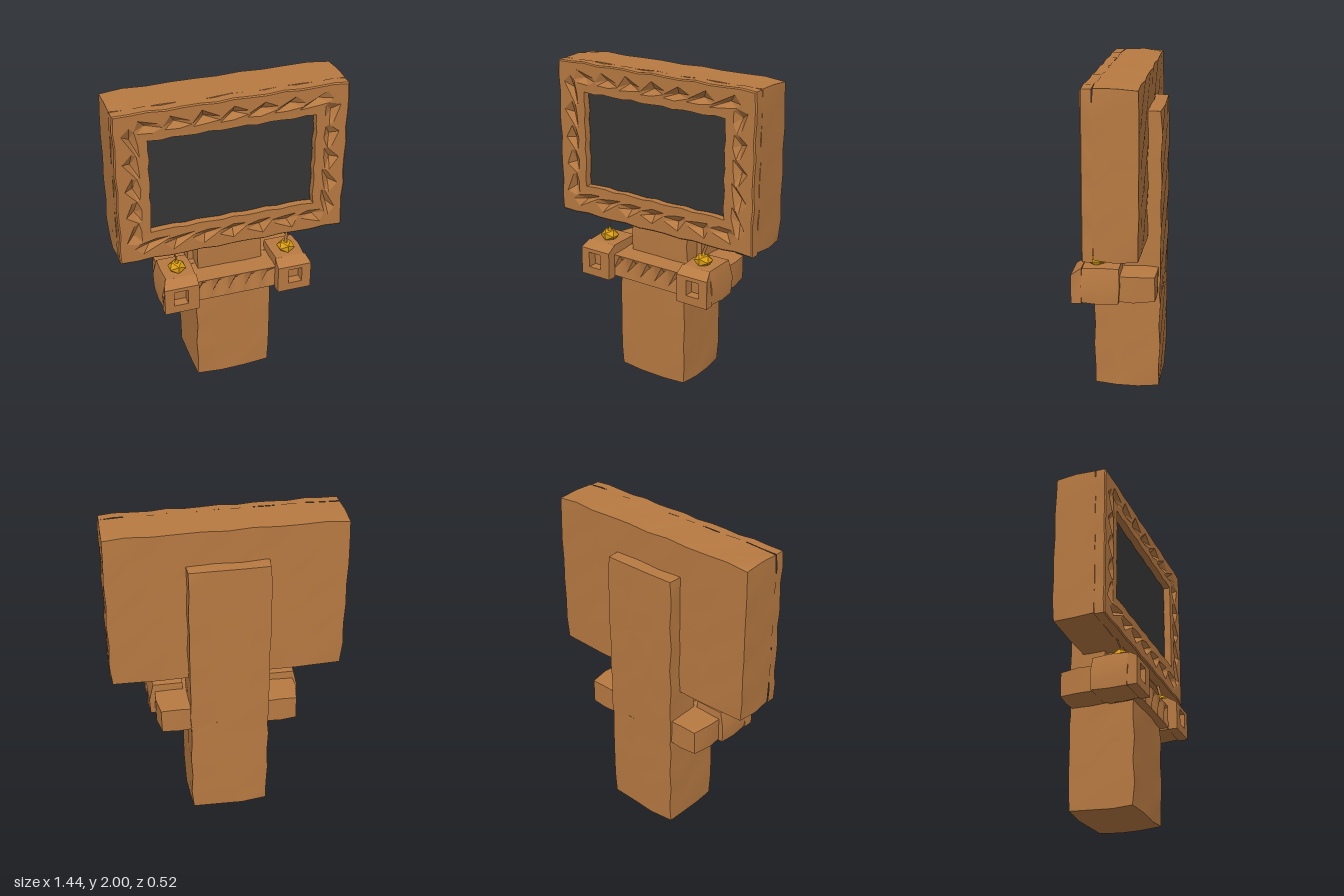
import * as THREE from 'three';
import { toCreasedNormals } from 'three/addons/utils/BufferGeometryUtils.js';

const mat = (name, color) => Object.assign(new THREE.MeshStandardMaterial({ color }), { name });

export function createModel() {
  const model = new THREE.Group();
  const wood = mat('wood', 0xb87a42);
  const glass = mat('dark screen', 0x353535);
  const gold = mat('gold', 0xd99c12);

  const add = (name, geometry, material = wood) => {
    const mesh = new THREE.Mesh(geometry, material);
    mesh.name = name;
    model.add(mesh);
    return mesh;
  };

  // Move every vertex by a rule, then keep the edges sharp
  const shapeBy = (geometry, rule) => {
    const p = geometry.attributes.position;
    const v = new THREE.Vector3();
    for (let i = 0; i < p.count; i++) {
      rule(v.fromBufferAttribute(p, i));
      p.setXYZ(i, v.x, v.y, v.z);
    }
    return toCreasedNormals(geometry, 0.6);
  };

  // Hand-hewn box between two corners, with softly uneven sides
  const hewn = (x0, x1, y0, y1, z0, z1, a = 0.004) => {
    const seg = (d) => Math.max(1, Math.round(d / 0.15));
    const g = new THREE.BoxGeometry(x1 - x0, y1 - y0, z1 - z0, seg(x1 - x0), seg(y1 - y0), seg(z1 - z0));
    g.translate((x0 + x1) / 2, (y0 + y1) / 2, (z0 + z1) / 2);
    return shapeBy(g, (v) => {
      const { x, y, z } = v;
      const ends = [[x, x0, x1], [y, y0, y1], [z, z0, z1]]
        .map(([c, lo, hi]) => (c - lo < 1e-4 ? 1 : hi - c < 1e-4 ? -1 : 0));
      const n = (k) => a * (1 + Math.sin(17 * x + 23 * y + 13 * z + k));
      const corner = ends.every((e) => e) ? 0.006 : 0;
      v.set(x + ends[0] * (n(0) + corner), y + ends[1] * (n(2) + corner), z + ends[2] * (n(4) + corner));
    });
  };

  // Post: broad foot, narrower neck and the tall back plank
  add('postFoot', hewn(-0.25, 0.25, 0, 0.7, -0.26, 0.155));
  add('neck', hewn(-0.215, 0.215, 0.65, 1.05, -0.1, 0.075));
  add('backPlank', hewn(-0.25, 0.25, 0.6, 1.79, -0.262, -0.03));

  // Head behind the carved frame
  add('head', hewn(-0.722, 0.722, 1.0, 2.0, -0.18, 0.09));

  // Carved frame: rings running from the rear outer edge to the screen recess
  const xs = 14, ys = 10;
  const stations = [];
  for (let i = 0; i < xs; i++) stations.push([-1 + 2 * i / xs, -1]);
  for (let i = 0; i < ys; i++) stations.push([1, -1 + 2 * i / ys]);
  for (let i = 0; i < xs; i++) stations.push([1 - 2 * i / xs, 1]);
  for (let i = 0; i < ys; i++) stations.push([-1, 1 - 2 * i / ys]);
  const n = stations.length;
  const rings = [
    () => [0, 0.085], () => [0, 0.143], () => [0.04, 0.15],
    (odd) => [odd ? 0.24 : 0.48, 0.15],
    (odd) => [odd ? 0.5 : 0.62, odd ? 0.115 : 0.15],
    () => [0.72, 0.147], () => [1, 0.147], () => [1, 0.09],
  ];
  const pts = [], idx = [];
  rings.forEach((ring, r) => stations.forEach(([u, w], i) => {
    const [t, z] = ring(i % 2);
    const wob = 0.005 * Math.sin(i * 2.3 + (r < 3 ? 0 : 1));
    pts.push(u * (0.716 - 0.201 * t + wob), 1.5 + w * 0.495 + t * (1.505 - 1.5 + w * (0.305 - 0.495)) + w * wob, z);
    if (r < rings.length - 1) {
      const j = (i + 1) % n, a = r * n + i, b = r * n + j;
      idx.push(a, b, b + n, a, b + n, a + n);
    }
  }));
  const frame = new THREE.BufferGeometry();
  frame.setAttribute('position', new THREE.Float32BufferAttribute(pts, 3));
  frame.setIndex(idx);
  add('carvedFrame', toCreasedNormals(frame, 0.3));

  // Screen sunk into the frame
  const screen = new THREE.BoxGeometry(1.04, 0.62, 0.008);
  add('screen', screen.translate(0, 1.505, 0.097), glass);

  // Crossbar wrapping the post, its front carved with a zigzag
  const bar = new THREE.BoxGeometry(0.54, 0.165, 0.2, 10, 2, 1).translate(0, 0.73, 0.1);
  add('crossbarFront', shapeBy(bar, (v) => {
    if (v.z < 0.19) return;
    const odd = Math.round((v.x + 0.27) / 0.054) % 2;
    if (Math.abs(v.y - 0.73) < 0.01) v.set(v.x, v.y + (odd ? 0.035 : -0.03), odd ? 0.175 : 0.2);
    else v.y += v.y > 0.73 ? -0.01 : 0.012;
  }));

  // Socket block outline with a square hole
  const rect = (target, x0, x1, y0, y1) =>
    target.moveTo(x0, y0).lineTo(x1, y0).lineTo(x1, y1).lineTo(x0, y1).closePath();

  for (const s of [-1, 1]) {
    const side = s > 0 ? 'left' : 'right';
    const span = (a, b) => (s > 0 ? [a, b] : [-b, -a]);

    // Arm beside the post and the block in front of it
    add(side + 'Arm', shapeBy(hewn(...span(0.2, 0.45), 0.65, 0.82, -0.25, 0.02, 0.002), (v) => {
      if (v.z < -0.2 && Math.abs(v.x) > 0.4) v.x -= s * 0.015;
    }));
    add(side + 'Block', shapeBy(hewn(...span(0.26, 0.48), 0.642, 0.87, -0.035, 0.2, 0.001), (v) => {
      if (v.y > 0.8 && Math.abs(v.x) > 0.4) v.x -= s * 0.02;
    }));

    // Block face, sloping back at the top
    const face = rect(new THREE.Shape(), ...span(0.26, 0.48), 0.645, 0.865);
    face.holes.push(rect(new THREE.Path(), ...span(0.33, 0.42), 0.7, 0.8));
    const g = new THREE.ExtrudeGeometry(face, { depth: 0.062, bevelEnabled: false }).translate(0, 0, 0.196);
    add(side + 'SocketFace', shapeBy(g, (v) => {
      if (v.y > 0.85 && v.z > 0.22) v.y = 0.825;
      if (v.y > 0.85 && Math.abs(v.x) > 0.4) v.x -= s * 0.02;
    }));

    // Faceted gold nugget on the block
    const nugget = new THREE.IcosahedronGeometry(1, 0);
    nugget.scale(0.06, 0.042, 0.058).translate(s * 0.36, 0.89, 0.115);
    add(side + 'Nugget', nugget, gold).geometry.computeVertexNormals();
    const tip = new THREE.ConeGeometry(0.03, 0.05, 5).toNonIndexed();
    tip.computeVertexNormals();
    add(side + 'NuggetTip', tip.translate(s * 0.36, 0.925, 0.115), gold);

    // Thin splinter from the nugget up to the head
    const path = new THREE.LineCurve3(
      new THREE.Vector3(s * 0.355, 0.92, 0.12), new THREE.Vector3(s * 0.38, 1.02, 0.09));
    add(side + 'Splinter', new THREE.TubeGeometry(path, 1, s > 0 ? 0.01 : 0.005, 4));
  }
  return model;
}
